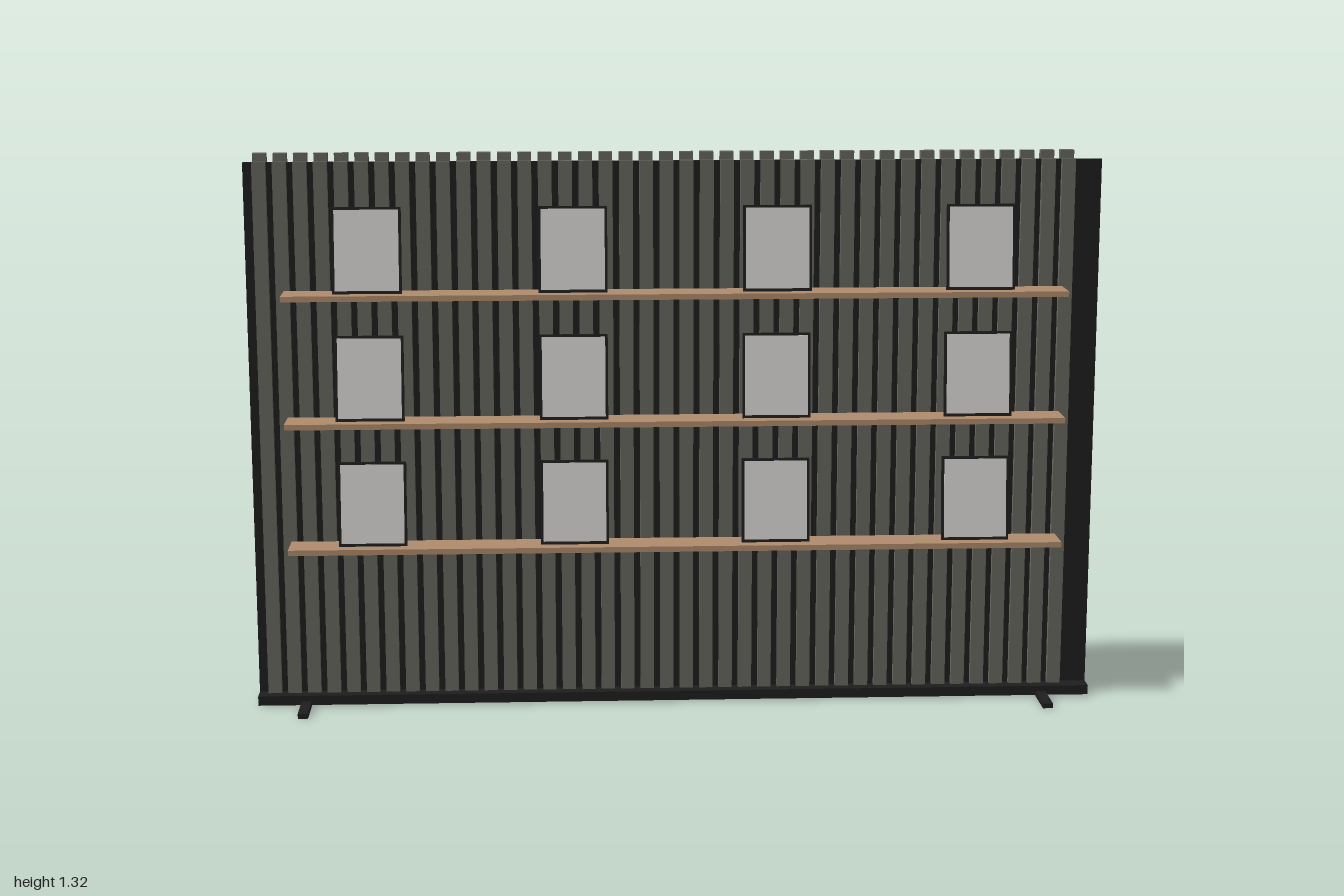
import * as THREE from 'three';

const material = (name, color) => {
  const m = new THREE.MeshStandardMaterial({ color });
  m.name = name;
  return m;
};

export function createModel() {
  const black = material('black metal', 0x1e1e1e);
  const slatGrey = material('grey slat', 0x68675f);
  const wood = material('shelf wood', 0xb08c6e);
  const paper = material('pale card', 0xd4d3d0);
  const root = new THREE.Group();
  root.name = 'slattedDisplayWall';

  // Box given by its minimum and maximum corners
  const box = (name, mat, x0, x1, y0, y1, z0, z1, parent = root) => {
    const mesh = new THREE.Mesh(new THREE.BoxGeometry(x1 - x0, y1 - y0, z1 - z0), mat);
    mesh.position.set((x0 + x1) / 2, (y0 + y1) / 2, (z0 + z1) / 2);
    mesh.name = name;
    parent.add(mesh);
    return mesh;
  };

  // Base, feet and backing panel
  box('base', black, -1, 1, 0.003, 0.026, -0.047, 0.047);
  for (const x of [-0.885, 0.885]) box('foot', black, x - 0.012, x + 0.012, 0, 0.012, -0.143, 0.143);
  box('backingPanel', black, -1, 1, 0.02, 1.298, -0.002, 0.008);

  // Vertical slats on both faces; the rear row stands a little taller
  const slats = new THREE.Group();
  slats.name = 'slats';
  root.add(slats);
  const count = 41;
  for (let i = 0; i < count; i++) {
    const x = -0.962 + (i * 1.882) / (count - 1);
    box('frontSlat', slatGrey, x - 0.016, x + 0.016, 0.02, 1.3, 0.008, 0.022, slats);
    box('backSlat', slatGrey, x - 0.016, x + 0.016, 0.02, 1.318, -0.021, -0.002, slats);
  }

  // Three shelves, each carrying four leaning frames
  for (const y of [0.4, 0.7, 1.0]) {
    box('shelf', wood, -0.912, 0.912, y - 0.013, y, 0.022, 0.109);
    box('shelfCleat', wood, -0.912, 0.912, y - 0.018, y - 0.013, 0.022, 0.027);
    for (let i = 0; i < 4; i++) {
      const frame = new THREE.Group();
      frame.name = 'leaningFrame';
      frame.position.set(-0.715 + i * 0.475, y, 0.075);
      frame.rotation.x = -0.1;
      root.add(frame);
      box('frameBack', black, -0.08, 0.08, 0, 0.2, -0.004, 0.004, frame);
      box('frameCard', paper, -0.074, 0.074, 0.007, 0.194, 0.004, 0.005, frame);
    }
  }
  return root;
}
